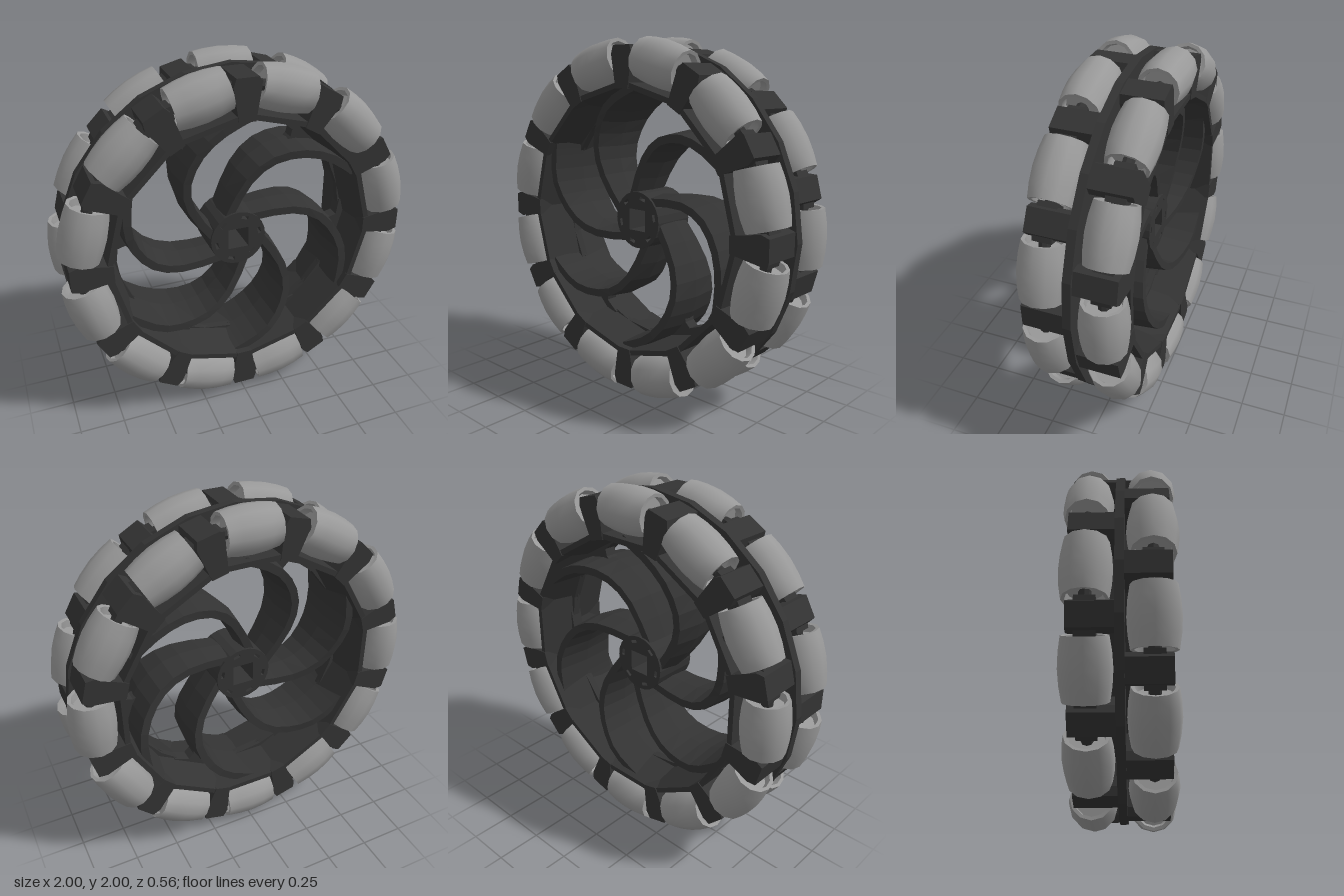
import * as THREE from 'three';
import { toCreasedNormals } from 'three/addons/utils/BufferGeometryUtils.js';

const dark = new THREE.MeshStandardMaterial({ color: 0x333333, flatShading: true, side: THREE.DoubleSide });
const grey = new THREE.MeshStandardMaterial({ color: 0x999999 });
const STEP = Math.PI / 6;
const v2 = (p) => new THREE.Vector2(p[0], p[1]);

function add(parent, name, geometry, material = dark) {
  const mesh = new THREE.Mesh(geometry, material);
  mesh.name = name;
  parent.add(mesh);
  return mesh;
}

// Extrudes a shape from z0 to z1
function slab(shape, z0, z1, curveSegments = 6) {
  const g = new THREE.ExtrudeGeometry(shape, { depth: z1 - z0, bevelEnabled: false, curveSegments });
  return g.translate(0, 0, z0);
}

// Regular polygon or circle path
function ngon(r, n) {
  return Array.from({ length: n }, (_, i) => {
    const a = (i / n) * Math.PI * 2;
    return new THREE.Vector2(r * Math.cos(a), r * Math.sin(a));
  });
}

// Curved spoke blade: six-sided cross-section swept along the spiral,
// thickest at mid-plane and deeper towards the rim
function spokeGeometry() {
  const path = new THREE.CatmullRomCurve3(
    [[-0.05, 0.13], [0.05, 0.33], [0.17, 0.44], [0.32, 0.475], [0.47, 0.45], [0.6, 0.37], [0.65, 0.33]]
      .map(([x, y]) => new THREE.Vector3(x, y, 0)));
  const N = 11, pos = [], index = [];
  for (let i = 0; i <= N; i++) {
    const t = i / N, p = path.getPoint(t), d = path.getTangent(t);
    const half = 0.11 + 0.09 * Math.min(1, t * 1.5);
    const section = [[0.022, half], [0.038, 0], [0.022, -half], [-0.022, -half], [-0.038, 0], [-0.022, half]];
    for (const [s, z] of section) pos.push(p.x - d.y * s, p.y + d.x * s, z);
    if (i === N) continue;
    for (let k = 0; k < 6; k++) {
      const a = i * 6 + k, b = i * 6 + ((k + 1) % 6);
      index.push(a, a + 6, b, b, a + 6, b + 6);
    }
  }
  const g = new THREE.BufferGeometry();
  g.setAttribute('position', new THREE.Float32BufferAttribute(pos, 3));
  g.setIndex(index);
  g.computeVertexNormals();
  return g;
}

// Barrel roller with recessed ends, lying along x
function rollerGeometry() {
  const pts = [[0.025, -0.11], [0.085, -0.11], [0.092, -0.148], [0.11, -0.15], [0.121, -0.08], [0.126, 0],
    [0.121, 0.08], [0.11, 0.15], [0.092, 0.148], [0.085, 0.11], [0.025, 0.11]].map(v2);
  const g = new THREE.LatheGeometry(pts, 12).rotateZ(Math.PI / 2);
  return toCreasedNormals(g, 0.65);
}

// One half of the tyre: faceted wall, twelve blocks and twelve rollers
function rollerRow(name) {
  const row = new THREE.Group();
  row.name = name;
  const wall = [[0.695, 0], [0.765, 0], [0.765, 0.235], [0.735, 0.235], [0.695, 0]].map(v2);
  add(row, 'rimWall', new THREE.LatheGeometry(wall, 12).rotateX(Math.PI / 2));

  const block = slab(new THREE.Shape(
    [[-0.045, 0.72], [0.045, 0.72], [0.075, 0.9], [0.06, 0.945], [-0.06, 0.945], [-0.075, 0.9]].map(v2)), 0, 0.24);
  const roller = rollerGeometry();
  const axle = new THREE.CylinderGeometry(0.03, 0.03, 0.38, 8).rotateZ(Math.PI / 2);
  const lug = new THREE.BoxGeometry(0.03, 0.07, 0.1);

  for (let i = 0; i < 12; i++) {
    const post = add(row, 'rollerBlock', block);
    post.rotation.z = i * STEP;
    const unit = new THREE.Group();
    unit.name = 'rollerUnit';
    unit.rotation.z = (i + 0.5) * STEP;
    row.add(unit);
    add(unit, 'roller', roller, grey).position.set(0, 0.872, 0.155);
    add(unit, 'axle', axle).position.set(0, 0.872, 0.155);
    for (const s of [-1, 1]) add(unit, 'axleLug', lug).position.set(s * 0.16, 0.872, 0.155);
  }
  return row;
}

export function createModel() {
  const model = new THREE.Group();
  model.name = 'omniWheel';
  const wheel = new THREE.Group();
  wheel.name = 'wheel';
  wheel.position.y = 1;
  model.add(wheel);

  // Central plate between both rows of rollers
  const plate = new THREE.Shape(ngon(0.96, 24));
  plate.holes.push(new THREE.Path(ngon(0.675, 24)));
  add(wheel, 'centrePlate', slab(plate, -0.022, 0.022));

  // Two roller rows, the back one turned half a step
  wheel.add(rollerRow('frontRow'));
  const back = rollerRow('backRow');
  back.rotation.set(0, Math.PI, STEP / 2);
  wheel.add(back);

  // Hub with square bore and small slots
  const hub = new THREE.Shape(ngon(0.16, 24));
  const b = 0.06;
  hub.holes.push(new THREE.Path([[-b, -b], [-b, b], [b, b], [b, -b]].map(v2)));
  for (let i = 0; i < 6; i++) {
    const a = (i + 0.2) * Math.PI / 3;
    const slot = [[0.118, -0.02], [0.118, 0.02], [0.136, 0.02], [0.136, -0.02]].map(v2);
    slot.forEach((p) => p.rotateAround(new THREE.Vector2(), a));
    hub.holes.push(new THREE.Path(slot));
  }
  add(wheel, 'hub', slab(hub, -0.125, 0.125));

  // Six spiral spokes, each with a web filling its corner at the rim
  const spoke = spokeGeometry();
  const web = slab(new THREE.Shape(
    [[0.3, 0.49], [0.45, 0.45], [0.61, 0.35], [0.64, 0.36], [0.5, 0.52], [0.3, 0.65], [0.27, 0.62], [0.345, 0.56], [0.335, 0.52]]
      .map(v2)), -0.035, 0.035);
  for (let i = 0; i < 6; i++) {
    const arm = new THREE.Group();
    arm.name = 'spokeArm';
    arm.rotation.z = i * Math.PI / 3;
    wheel.add(arm);
    add(arm, 'spoke', spoke);
    add(arm, 'spokeWeb', web);
  }
  return model;
}
